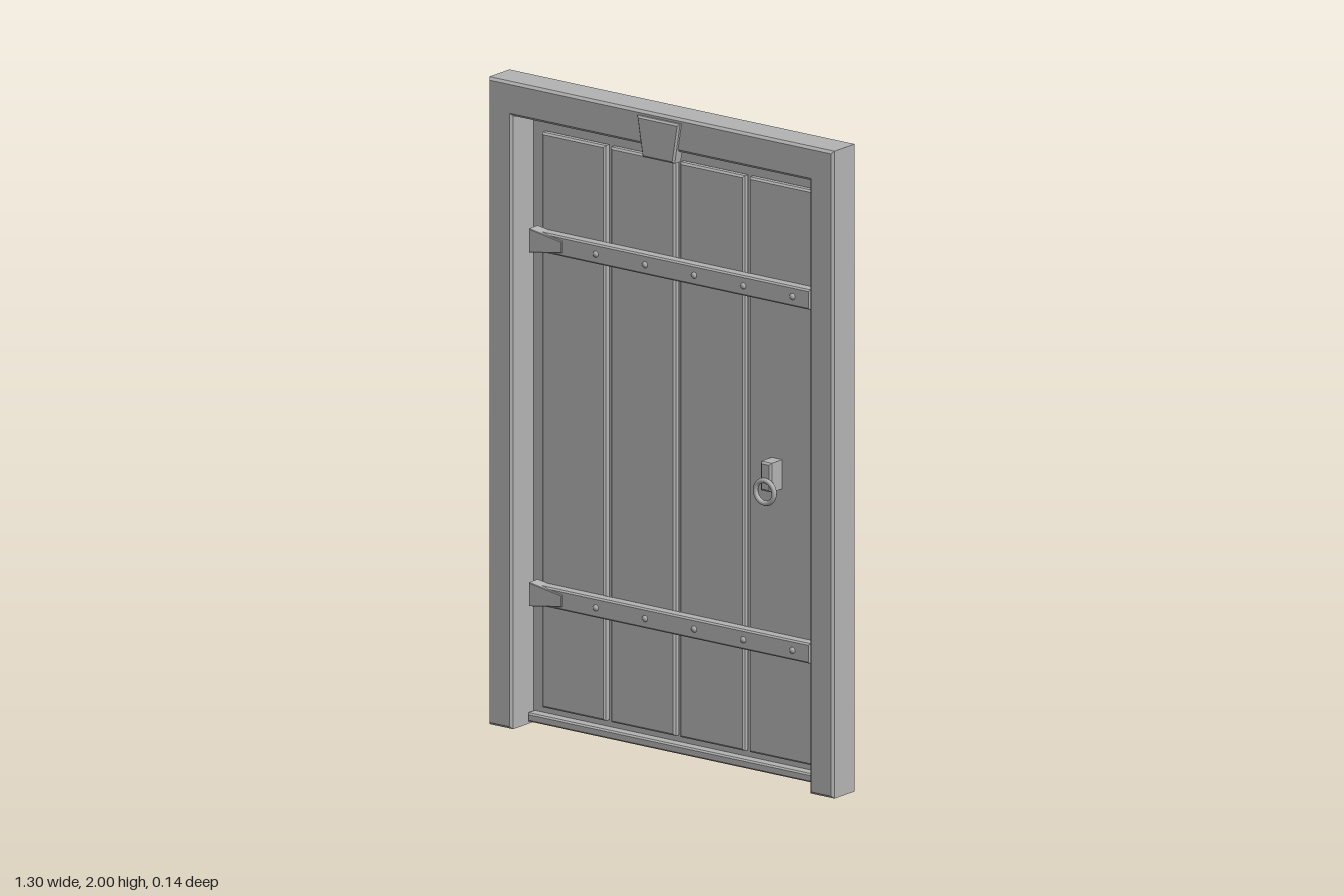
import * as THREE from 'three';

export function createModel() {
  const group = new THREE.Group();
  const grey = new THREE.MeshStandardMaterial({ color: 0xb4b4b4 });
  grey.name = 'grey';

  const add = (name, geometry, x = 0, y = 0, z = 0, parent = group) => {
    const mesh = new THREE.Mesh(geometry, grey);
    mesh.name = name;
    mesh.position.set(x, y, z);
    parent.add(mesh);
    return mesh;
  };

  // Chamfered slab with the given outline, between two depths
  const slab = (name, points, z0, z1, bevel, parent = group) => {
    const shape = new THREE.Shape(points.map(([x, y]) => new THREE.Vector2(x, y)));
    const geometry = new THREE.ExtrudeGeometry(shape, {
      depth: z1 - z0 - 2 * bevel,
      bevelEnabled: true,
      bevelThickness: bevel,
      bevelSize: bevel,
      bevelOffset: -bevel,
      bevelSegments: 1,
    });
    return add(name, geometry, 0, 0, z0 + bevel, parent);
  };
  const rect = (x0, x1, y0, y1) => [[x0, y0], [x1, y0], [x1, y1], [x0, y1]];

  // Surround: two jambs and a lintel
  slab('frame', [
    [-0.65, 0], [-0.56, 0], [-0.56, 1.895], [0.56, 1.895],
    [0.56, 0], [0.65, 0], [0.65, 2], [-0.65, 2],
  ], -0.055, 0.058, 0.008);

  // Keystone over the opening
  slab('keystone', [[-0.06, 1.86], [0.06, 1.86], [0.08, 1.985], [-0.08, 1.985]], 0.03, 0.071, 0.006);

  // Flat back board and the sill
  add('backPanel', new THREE.BoxGeometry(1.26, 1.985, 0.023), 0, 0.9925, -0.0615);
  slab('sill', rect(-0.555, 0.555, 0.01, 0.037), -0.052, -0.012, 0.005);

  // Four upright planks
  for (const [x0, x1] of [[-0.513, -0.273], [-0.253, -0.01], [0.007, 0.25], [0.268, 0.51]]) {
    slab('plank', rect(x0, x1, 0.058, 1.835), -0.052, -0.025, 0.006);
  }

  // Two iron straps with a flared hinge end and domed rivets
  for (const y of [0.415, 1.508]) {
    const strap = new THREE.Group();
    strap.name = 'hingeStrap';
    strap.position.y = y;
    group.add(strap);
    slab('strapBar', rect(-0.52, 0.525, -0.031, 0.031), -0.03, 0.01, 0.005, strap);
    slab('hingeFlare', [[-0.527, -0.037], [-0.405, -0.018], [-0.405, 0.018], [-0.527, 0.037]],
      -0.028, 0.018, 0.002, strap);
    for (let i = 0; i < 5; i++) {
      const rivet = add('rivet', new THREE.SphereGeometry(0.01, 12, 8), -0.28 + i * 0.185, 0, 0.01, strap);
      rivet.scale.z = 0.7;
    }
  }

  // Pull ring on its mount
  slab('handleMount', rect(0.355, 0.395, 0.895, 0.985), -0.03, 0.032, 0.006);
  add('handleRing', new THREE.TorusGeometry(0.035, 0.008, 8, 28), 0.375, 0.895, 0.034);

  return group;
}
